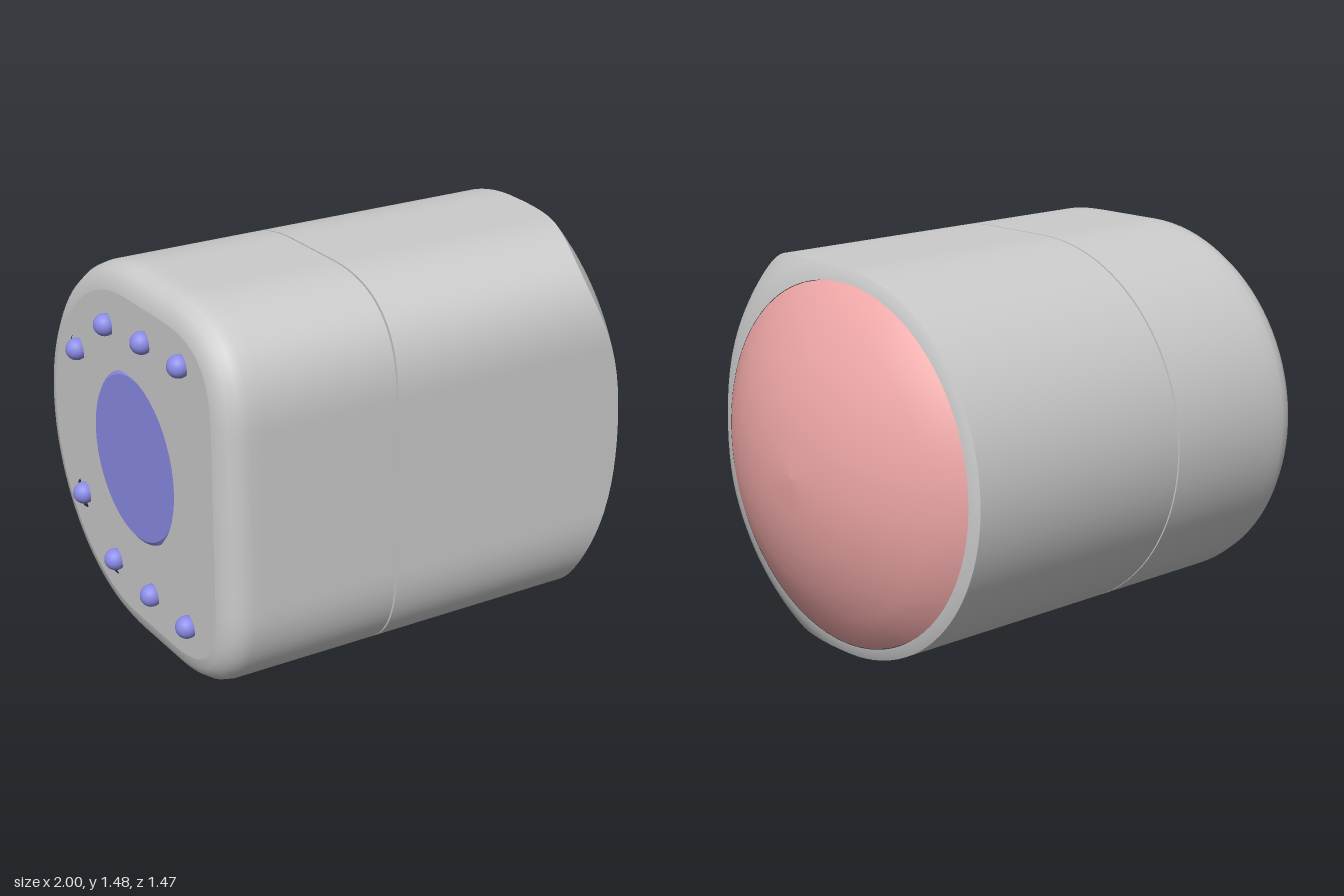
import * as THREE from 'three';
import { toCreasedNormals } from 'three/addons/utils/BufferGeometryUtils.js';

const R = 0.7375;            // radius of the rounded back half
const FRONT = 0.73;          // z of the flat front
const BACK_X = -0.955, SEAM = -0.26, GAP = 0.004;

const material = (color) => new THREE.MeshStandardMaterial({ color });

// D-shaped cross-section in (z, y): round at the back, flat with soft corners at the front
function makeOutline() {
  const s = new THREE.Shape();
  const line = (x0, y0, x1, y1, n) => {
    for (let i = 1; i <= n; i++) s.lineTo(x0 + (x1 - x0) * i / n, y0 + (y1 - y0) * i / n);
  };
  s.moveTo(0, R);
  line(0, R, 0.3, R, 5);
  s.quadraticCurveTo(FRONT, R, FRONT, 0.34);
  line(FRONT, 0.34, FRONT, -0.34, 12);
  s.quadraticCurveTo(FRONT, -R, 0.3, -R);
  line(0.3, -R, 0, -R, 5);
  s.absarc(0, 0, R, -Math.PI / 2, Math.PI / 2, true);
  const pts = s.getPoints(24).filter((p, i, a) => i === 0 || p.distanceTo(a[i - 1]) > 1e-5);
  if (pts[0].distanceTo(pts[pts.length - 1]) < 1e-5) pts.pop();
  return pts;
}
const outline = makeOutline();

// Outline moved inwards along its normals
function inset(d) {
  const n = outline.length;
  return outline.map((p, i) => {
    const t = outline[(i + 1) % n].clone().sub(outline[(i + n - 1) % n]).normalize();
    return new THREE.Vector2(p.x + t.y * d, p.y - t.x * d);
  });
}

// Skin through closed rings of Vector3
function loft(rings) {
  const n = rings[0].length, index = [];
  for (let i = 0; i < rings.length - 1; i++)
    for (let j = 0; j < n; j++) {
      const a = i * n + j, b = i * n + (j + 1) % n;
      index.push(a, b, a + n, b, b + n, a + n);
    }
  const g = new THREE.BufferGeometry().setFromPoints(rings.flat());
  g.setIndex(index);
  g.computeVertexNormals();
  return g;
}
const ring = (x, d = 0) => inset(d).map((p) => new THREE.Vector3(x, p.y, p.x));

// Height of the domed end's shoulder at a distance r from the axis
const shoulder = (r) => {
  const d = r - 0.69;
  return 0.76 - 0.22 * d - 2.53 * d * d;
};

export function createModel() {
  const model = new THREE.Group();
  model.position.y = R;
  const grey = material(0xcccccc), pink = material(0xeea6a6), blue = material(0x8c8ce8);
  const add = (name, geometry, mat) => {
    const m = new THREE.Mesh(geometry, mat);
    m.name = name;
    model.add(m);
    return m;
  };

  // Back housing with rounded edge
  const bevel = 0.1, rings = [];
  for (let i = 0; i <= 4; i++) {
    const a = (i / 4) * Math.PI / 2;
    rings.push(ring(BACK_X + bevel * (1 - Math.sin(a)), bevel * (1 - Math.cos(a))));
  }
  rings.reverse();
  rings.sort((a, b) => a[0].x - b[0].x);
  rings.push(ring(-0.8), ring(SEAM - GAP));
  add('rearHousing', loft(rings), grey);

  // Groove between the two housings
  add('seamGroove', toCreasedNormals(loft([
    ring(SEAM - GAP), ring(SEAM - GAP, 0.02), ring(SEAM + GAP, 0.02), ring(SEAM + GAP),
  ]), 0.6), grey);

  // Main housing, ending on the curved shoulder line
  const edge = outline.map((p) => new THREE.Vector3(shoulder(p.length()), p.y, p.x));
  add('mainHousing', loft([ring(SEAM + GAP), ring(0.3), edge]), grey);

  // Shoulder from the housing edge to the round lens opening
  const shoulderRings = [];
  for (let k = 0; k <= 6; k++)
    shoulderRings.push(outline.map((p) => {
      const len = p.length(), r = len + (0.692 - len) * k / 6;
      return new THREE.Vector3(shoulder(r), p.y * r / len, p.x * r / len);
    }));
  add('lensShoulder', loft(shoulderRings), grey);

  // Shallow domed lens
  const domeR = 1.112, half = Math.asin(0.69 / domeR), profile = [new THREE.Vector2(0.69, 0.72)];
  for (let i = 0; i <= 5; i++) {
    const a = half * (1 - i / 5);
    profile.push(new THREE.Vector2(domeR * Math.sin(a), 1 - domeR + domeR * Math.cos(a)));
  }
  add('lensDome', new THREE.LatheGeometry(profile, 64).rotateZ(-Math.PI / 2), pink);

  // End plate with a round window and eight small sockets
  const lights = [];
  for (const [z, y] of [[-0.42, 0.3], [-0.165, 0.48], [0.13, 0.505], [0.41, 0.51]])
    for (const side of [1, -1]) lights.push([z, y * side]);
  const plate = new THREE.Shape(inset(bevel));
  const hole = (x, y, r) => plate.holes.push(new THREE.Path().absarc(x, y, r, 0, Math.PI * 2, true));
  hole(0, 0, 0.34);
  lights.forEach(([z, y]) => hole(z, y, 0.058));
  const depth = 0.05;
  add('endPlate', new THREE.ExtrudeGeometry(plate, { depth, bevelEnabled: false, curveSegments: 24 })
    .rotateY(-Math.PI / 2).translate(BACK_X + depth, 0, 0), grey);
  add('socketFloor', new THREE.ShapeGeometry(new THREE.Shape(inset(bevel)))
    .rotateY(-Math.PI / 2).translate(BACK_X + depth - 0.002, 0, 0), grey);

  // Round window with a chamfered edge, slightly sunk
  const disc = [[0.333, -0.04], [0.333, 0.005], [0.32, 0.015], [0, 0.015]].map((p) => new THREE.Vector2(...p));
  add('windowDisc', toCreasedNormals(new THREE.LatheGeometry(disc, 48), 0.5)
    .rotateZ(Math.PI / 2).translate(BACK_X + 0.03, 0, 0), blue);

  // Small round lights in the sockets
  const ball = new THREE.SphereGeometry(0.043, 20, 14);
  lights.forEach(([z, y]) => add('light', ball, blue).position.set(-0.957, y, z));

  const root = new THREE.Group();
  root.name = 'domedUnit';
  root.add(model);
  return root;
}
